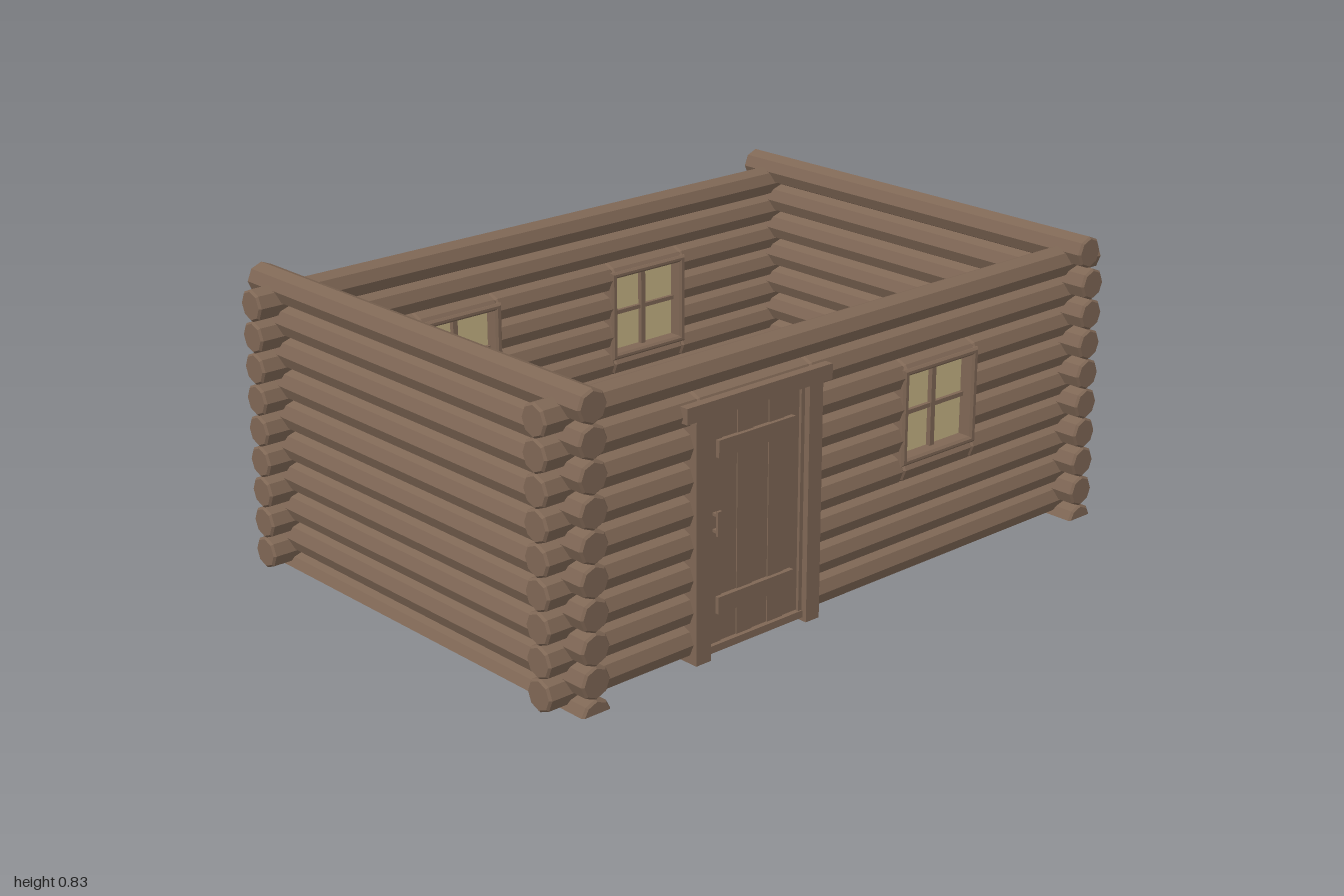
import * as THREE from 'three';

const wood = new THREE.MeshStandardMaterial({ color: 0x7f6755 });
wood.name = 'brown wood';
wood.flatShading = true;
const pane = new THREE.MeshStandardMaterial({ color: 0xc6b484 });
pane.name = 'pale yellow glass';

const R = 0.045, STEP = 0.0872, WALL_Z = 0.58, WALL_X = 0.9;

function add(parent, name, geometry, material = wood) {
  const mesh = new THREE.Mesh(geometry, material);
  mesh.name = name;
  parent.add(mesh);
  return mesh;
}

// Box given by its lower and upper limits on each axis
function block(parent, name, x0, x1, y0, y1, z0, z1, material = wood) {
  const g = new THREE.BoxGeometry(x1 - x0, y1 - y0, z1 - z0);
  g.translate((x0 + x1) / 2, (y0 + y1) / 2, (z0 + z1) / 2);
  return add(parent, name, g, material);
}

// Eight-sided log with chamfered ends, sawn flat at heights lo and hi
function log(parent, name, axis, from, to, y, offset, lo = -9, hi = 9) {
  const h = (to - from) / 2, mid = (from + to) / 2, c = 0.006;
  const profile = [[0, -h], [R - c, -h], [R, c - h], [R, h - c], [R - c, h], [0, h]];
  const g = new THREE.LatheGeometry(profile.map(p => new THREE.Vector2(...p)), 8);
  if (axis === 'x') g.rotateZ(Math.PI / 2).translate(mid, y, offset);
  else g.rotateX(Math.PI / 2).translate(offset, y, mid);
  const pos = g.attributes.position;
  for (let i = 0; i < pos.count; i++) {
    pos.setY(i, Math.min(hi, Math.max(lo, pos.getY(i))));
  }
  g.computeVertexNormals();
  add(parent, name, g);
}

// Long wall whose logs are interrupted by openings sorted along x
function longWall(parent, name, z, openings) {
  const wall = new THREE.Group();
  wall.name = name;
  parent.add(wall);
  for (let k = 0; k < 9; k++) {
    const y = 0.055 + k * STEP;
    let start = -1;
    for (const o of openings) {
      if (y + R <= o.y0 || y - R >= o.y1) continue;
      log(wall, 'wallLog', 'x', start, o.x0, y, z);
      if (y - R < o.y0) log(wall, 'logBelowOpening', 'x', o.x0, o.x1, y, z, -9, o.y0);
      if (y + R > o.y1) log(wall, 'logAboveOpening', 'x', o.x0, o.x1, y, z, o.y1, 9);
      start = o.x1;
    }
    log(wall, 'wallLog', 'x', start, 1, y, z);
  }
}

function rectangle(Type, w, h) {
  const s = new Type();
  s.moveTo(-w, -h);
  s.lineTo(w, -h);
  s.lineTo(w, h);
  s.lineTo(-w, h);
  s.closePath();
  return s;
}

// Window frame through the wall, with crossed bars and four panes
function makeWindow(parent, x, z) {
  const w = new THREE.Group();
  w.name = 'window';
  w.position.set(x, 0.465, z);
  const b = 0.006;
  const shape = rectangle(THREE.Shape, 0.145 - b, 0.135 - b);
  shape.holes.push(rectangle(THREE.Path, 0.123 + b, 0.116 + b));
  const frame = new THREE.ExtrudeGeometry(shape, {
    depth: 0.082, bevelEnabled: true, bevelSize: b, bevelThickness: b, bevelSegments: 1,
  });
  frame.translate(0, 0, -0.041);
  add(w, 'windowFrame', frame);
  block(w, 'uprightBar', -0.008, 0.008, -0.118, 0.118, -0.018, 0.018);
  block(w, 'crossBar', -0.125, 0.125, -0.006, 0.006, -0.015, 0.015);
  for (const sx of [-1, 1]) {
    for (const sy of [-1, 1]) {
      const p = block(w, 'windowPane', -0.0595, 0.0595, -0.057, 0.057, -0.004, 0.004, pane);
      p.position.set(sx * 0.066, sy * 0.061, 0);
    }
  }
  parent.add(w);
}

function makeDoor(parent) {
  const d = new THREE.Group();
  d.name = 'door';
  parent.add(d);
  // Frame
  block(d, 'doorPost', -0.54, -0.49, 0, 0.652, 0.522, 0.635);
  block(d, 'doorPost', -0.155, -0.108, 0, 0.652, 0.522, 0.635);
  block(d, 'lintel', -0.575, -0.08, 0.65, 0.692, 0.507, 0.64);
  block(d, 'threshold', -0.49, -0.155, 0.01, 0.03, 0.535, 0.622);
  block(d, 'doorStop', -0.167, -0.155, 0.03, 0.65, 0.585, 0.618);
  // Planks, every other one set slightly back
  const width = 0.323 / 6;
  for (let i = 0; i < 6; i++) {
    const x = -0.49 + i * width, back = (i % 2) * 0.003;
    block(d, 'doorPlank', x, x + width, 0.032, 0.645, 0.588 + back, 0.613 - back);
  }
  // Cross boards
  for (const y of [0.112, 0.53]) {
    block(d, 'crossBoard', -0.455, -0.193, y, y + 0.046, 0.61, 0.624);
  }
  // Handles on both faces
  for (const [z0, z1, grip] of [[0.61, 0.632, 0.626], [0.57, 0.59, 0.568]]) {
    for (const y of [0.335, 0.379]) block(d, 'handleMount', -0.466, -0.454, y, y + 0.008, z0, z1);
    block(d, 'handleGrip', -0.467, -0.453, 0.328, 0.394, grip, grip + 0.008);
  }
}

export function createModel() {
  const cabin = new THREE.Group();
  cabin.name = 'logCabin';

  // Front and back walls
  const hole = x => ({ x0: x - 0.134, x1: x + 0.134, y0: 0.34, y1: 0.59 });
  const doorway = { x0: -0.515, x1: -0.133, y0: 0, y1: 0.655 };
  longWall(cabin, 'frontWall', WALL_Z, [doorway, hole(0.35)]);
  longWall(cabin, 'backWall', -WALL_Z, [hole(-0.35), hole(0.35)]);

  // Side walls, half a step lower, with a sawn bottom log
  for (const side of [-1, 1]) {
    const wall = new THREE.Group();
    wall.name = side > 0 ? 'leftWall' : 'rightWall';
    cabin.add(wall);
    for (let k = 0; k < 10; k++) {
      const half = k === 9 && side > 0 ? 0.662 : 0.678;
      log(wall, 'sideLog', 'z', -half, half, 0.003 + k * STEP, side * WALL_X, 0.01);
    }
  }

  makeDoor(cabin);
  makeWindow(cabin, 0.35, WALL_Z);
  makeWindow(cabin, 0.35, -WALL_Z);
  makeWindow(cabin, -0.35, -WALL_Z);
  return cabin;
}
